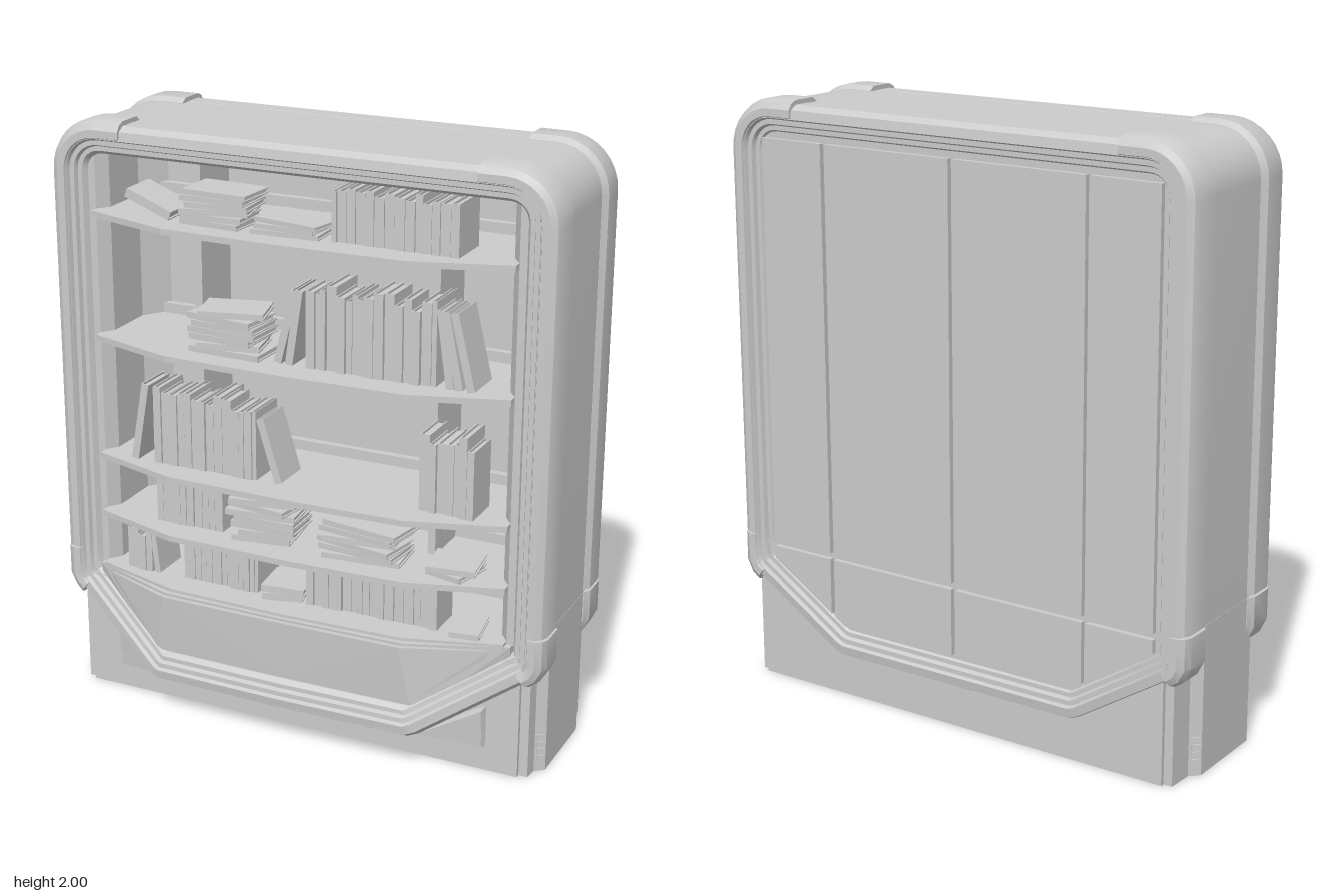
import * as THREE from 'three';
import { toCreasedNormals, mergeGeometries } from 'three/addons/utils/BufferGeometryUtils.js';
import { ConvexGeometry } from 'three/addons/geometries/ConvexGeometry.js';

const mat = new THREE.MeshStandardMaterial({ color: 0xcccccc });
const V2 = (x, y) => new THREE.Vector2(x, y);

export function createModel() {
  const root = new THREE.Group();
  let seed = 7;
  const rand = () => (seed = (seed * 16807) % 2147483647) / 2147483647;

  const add = (name, geo, parent = root) => {
    const m = new THREE.Mesh(geo, mat);
    m.name = name;
    parent.add(m);
    return m;
  };
  const boxGeo = (x0, x1, y0, y1, z0, z1) =>
    new THREE.BoxGeometry(x1 - x0, y1 - y0, z1 - z0).translate((x0 + x1) / 2, (y0 + y1) / 2, (z0 + z1) / 2);
  // Front-facing outline pushed from z0 to z1
  const slab = (pts, z0, z1, hole) => {
    const s = new THREE.Shape(pts);
    if (hole) s.holes.push(new THREE.Path(hole));
    const g = new THREE.ExtrudeGeometry(s, { depth: z1 - z0, bevelEnabled: false }).translate(0, 0, z0);
    return toCreasedNormals(g, 0.6);
  };
  // Plan outline given as [x, z], raised from y0 to y1
  const plan = (pts, y0, y1) =>
    new THREE.ExtrudeGeometry(new THREE.Shape(pts.map(([x, z]) => V2(x, -z))), { depth: y1 - y0, bevelEnabled: false })
      .rotateX(-Math.PI / 2).translate(0, y0, 0);
  const mirrorPts = pts => pts.map(([x, ...r]) => [-x, ...r]).reverse();
  const hull = pts => new ConvexGeometry([...pts, ...mirrorPts(pts)].map(p => new THREE.Vector3(...p)));

  // Cabinet outline, clockwise from the top centre
  const half = [V2(0, 2), V2(0.61, 2)];
  for (let i = 0; i <= 8; i++) {
    const a = (Math.PI / 2) * (1 - i / 8);
    half.push(V2(0.70 + 0.17 * Math.cos(a), 1.83 + 0.17 * Math.sin(a)));
  }
  half.push(V2(0.87, 0.51), V2(0.87, 0.40), V2(0.845, 0.35), V2(0.50, 0.13), V2(0.46, 0.115), V2(0, 0.115));
  const flip = pts => pts.map(p => V2(-p.x, p.y)).reverse();
  const outline = [...half, ...flip(half.slice(1, -1))];

  // Move a path inwards by d with mitred corners
  const inset = (path, d, closed = true) => path.map((p, i) => {
    const n = path.length;
    const prev = closed || i > 0 ? path[(i + n - 1) % n] : null;
    const next = closed || i < n - 1 ? path[(i + 1) % n] : null;
    const a = prev ? p.clone().sub(prev).normalize() : next.clone().sub(p).normalize();
    const b = next ? next.clone().sub(p).normalize() : a;
    const t = a.clone().add(b).normalize();
    const k = d / t.dot(a);
    return V2(p.x + t.y * k, p.y - t.x * k);
  });

  // Sweep a profile of [inset, z] along a path; the lower front bows forwards
  const bow = p => (p.y > 0.45 ? 0 : 0.13 * Math.min(1, Math.max(0, (0.845 - Math.abs(p.x)) / 0.37)) + (p.x === 0 ? 0.008 : 0));
  const sweep = (path, profile, closed, rear) => {
    const prof = rear ? profile.map(([d, z]) => [d, -0.14 - z]).reverse() : profile;
    const n = path.length, m = prof.length, pos = [], idx = [];
    const rails = prof.map(([d]) => inset(path, d, closed));
    for (let i = 0; i < n; i++)
      for (let j = 0; j < m; j++) pos.push(rails[j][i].x, rails[j][i].y, prof[j][1] + (rear ? 0 : bow(path[i])));
    for (let i = 0; i < (closed ? n : n - 1); i++)
      for (let j = 0; j < m; j++) {
        const i2 = (i + 1) % n, j2 = (j + 1) % m;
        const a = i * m + j, b = i2 * m + j, c = i * m + j2, d = i2 * m + j2;
        idx.push(a, c, b, b, c, d);
      }
    if (!closed)
      for (let j = 1; j < m - 1; j++) {
        const e = (n - 1) * m;
        idx.push(0, j + 1, j, e, e + j, e + j + 1);
      }
    const g = new THREE.BufferGeometry();
    g.setAttribute('position', new THREE.Float32BufferAttribute(pos, 3));
    g.setIndex(idx);
    return toCreasedNormals(g, 0.5);
  };

  // Front and rear rims with thicker sleeves on corners and sides
  const rim = [[0.015, 0.11], [0.015, 0.175], [0.03, 0.2], [0.06, 0.205], [0.066, 0.192], [0.082, 0.192],
    [0.088, 0.178], [0.103, 0.178], [0.115, 0.16], [0.115, 0.09], [0.03, 0.09]];
  const sleeve = [[0, 0.09], [0, 0.175], [0.01, 0.198], [0.03, 0.211], [0.055, 0.211], [0.06, 0.2], [0.06, 0.07], [0.015, 0.07]];
  const upper = half.slice(1, 12);
  const lower = [V2(0.873, 0.503), V2(0.873, 0.40), V2(0.85, 0.353), V2(0.82, 0.332)];
  for (const rear of [false, true]) {
    const side = rear ? 'rear' : 'front';
    add(side + 'Rim', sweep(outline, rim, true, rear));
    for (const part of [upper, lower])
      for (const p of [part, flip(part)]) add(side + (part === upper ? 'UpperSleeve' : 'LowerSleeve'), sweep(p, sleeve, false, rear));
  }

  // Outer shell, open at the front, and back board
  const opening = [V2(-0.75, 0.42), V2(0.75, 0.42), V2(0.75, 1.89), V2(-0.75, 1.89)];
  add('shell', slab(inset(outline, 0.016), -0.26, 0.12, opening));
  add('backBoard', slab(inset(outline, 0.09), -0.31, -0.15));

  // Raised back panels separated by seams
  const xs = [0.008, 0.49, 0.506, 0.745];
  for (const s of [1, -1]) {
    const poly = pts => slab(pts.map(([x, y]) => V2(x * s, y)), -0.328, -0.305);
    for (const k of [0, 2]) {
      const [a, b] = [xs[k], xs[k + 1]];
      add('upperBackPanel', poly([[a, 0.49], [b, 0.49], [b, 1.87], [a, 1.87]]));
    }
    add('lowerBackPanel', poly([[0.008, 0.24], [0.45, 0.24], [0.49, 0.265], [0.49, 0.47], [0.008, 0.47]]));
    add('lowerBackPanel', poly([[0.506, 0.275], [0.745, 0.425], [0.745, 0.47], [0.506, 0.47]]));
  }

  // Base with side columns, rear skirt, vents and grilles
  add('base', boxGeo(-0.79, 0.79, 0, 0.41, -0.30, 0.185));
  add('rearSkirt', slab([[-0.79, 0], [0.79, 0], [0.79, 0.38], [0.47, 0.18], [-0.47, 0.18], [-0.79, 0.38]].map(p => V2(...p)), -0.335, -0.30));
  const column = [[0.78, 0.17], [0.82, 0.17], [0.825, 0.125], [0.855, 0.1], [0.855, -0.2], [0.825, -0.23], [0.82, -0.32], [0.78, -0.32]];
  for (const s of [1, -1]) {
    const mir = pts => (s > 0 ? pts : mirrorPts(pts));
    add('sideColumn', plan(mir(column), 0, 0.5));
    add('frontVent', new ConvexGeometry([[0.68, 0.08, 0.18], [0.68, 0.235, 0.18], [0.43, 0.1, 0.18], [0.67, 0.09, 0.2],
      [0.67, 0.22, 0.21], [0.46, 0.105, 0.24]].map(([x, y, z]) => new THREE.Vector3(x * s, y, z))));
    add('ventLatch', boxGeo(s * 0.665 - 0.008, s * 0.665 + 0.008, 0.12, 0.16, 0.18, 0.205));
    for (const z of [0.112, -0.215])
      for (let i = 0; i < 4; i++) {
        const g = add('grilleSlat', new THREE.BoxGeometry(0.008, 0.014, 0.024));
        g.position.set(s * 0.841, 0.05 + i * 0.025, z);
        g.rotation.y = s * (z > 0 ? -0.87 : 0.87);
      }
  }

  // Bowed lower front with a raised panel
  add('lowerFront', hull([[0.75, 0.452, 0.18], [0.43, 0.452, 0.303], [0, 0.452, 0.31], [0.47, 0.2, 0.285], [0, 0.2, 0.29],
    [0.75, 0.40, 0.17], [0.75, 0.452, -0.15], [0.6, 0.2, -0.15]]));
  add('lowerFrontPanel', hull([[0.69, 0.44, 0.21], [0.68, 0.41, 0.212], [0.43, 0.445, 0.322], [0, 0.445, 0.327],
    [0.46, 0.25, 0.308], [0, 0.25, 0.315], [0.64, 0.43, 0.16], [0.44, 0.26, 0.16]]));

  // Interior: slanted side linings and shallow uprights
  const lining = [[0.755, 0.16], [0.73, 0.16], [0.70, 0.12], [0.70, -0.06], [0.635, -0.152], [0.755, -0.152]];
  for (const s of [1, -1]) {
    add('sideLining', plan(s > 0 ? lining : mirrorPts(lining), 0.45, 1.895));
    add('upright', boxGeo(s * 0.42 - 0.013, s * 0.42 + 0.013, 0.45, 1.89, -0.152, 0.045));
  }

  // Bowed shelves with trims along the back wall
  const shelfHalf = [[0, 0.297], [0.42, 0.285], [0.73, 0.19], [0.73, -0.152]];
  const shelfPlan = [...shelfHalf, ...mirrorPts(shelfHalf.slice(1))];
  const shelfTops = [1.70, 1.28, 0.865, 0.655, 0.462];
  for (const y of shelfTops) {
    add('shelf', plan(shelfPlan, y - 0.02, y));
    add('backTrim', boxGeo(-0.68, 0.68, y, y + 0.035, -0.152, -0.125));
    if (y > 0.5) add('underTrim', boxGeo(-0.69, 0.69, y - 0.065, y - 0.02, -0.152, -0.11));
  }

  // Books: spine, two boards and recessed pages
  const bookGeo = (t, h, d) => {
    const c = Math.min(0.004, t / 5);
    return mergeGeometries([boxGeo(-t / 2, t / 2, 0, h, d / 2 - c, d / 2), boxGeo(-t / 2, c - t / 2, 0, h, -d / 2, d / 2),
      boxGeo(t / 2 - c, t / 2, 0, h, -d / 2, d / 2), boxGeo(c - t / 2, t / 2 - c, 0.006, h - 0.008, 0.006 - d / 2, d / 2 - c)]);
  };
  const books = new THREE.Group();
  books.name = 'books';
  root.add(books);
  const row = (x0, x1, y, h) => {
    for (let x = x0; x < x1 - 0.012;) {
      const t = Math.min(0.016 + 0.02 * rand(), x1 - x), d = 0.13 + 0.03 * rand();
      add('standingBook', bookGeo(t * 0.94, h * (0.84 + 0.16 * rand()), d), books).position.set(x + t / 2, y, 0.195 - d / 2 - 0.015 * rand());
      x += t;
    }
  };
  const stack = (x, y, w, h, n) => {
    for (let i = 0; i < n; i++) {
      const t = h / n, len = w * (0.75 + 0.25 * rand());
      const g = bookGeo(t * 0.95, len, 0.15).translate(0, -len / 2, 0).rotateZ(Math.PI / 2);
      const m = add('stackedBook', g, books);
      m.position.set(x + (rand() - 0.5) * 0.03, y + t * (i + 0.5), 0.135);
      m.rotation.y = (rand() - 0.5) * 0.5;
    }
  };
  const lean = (x, y, h, angle, t = 0.026) => {
    const m = add('leaningBook', bookGeo(t, h, 0.14), books);
    m.position.set(x, y + Math.abs(Math.sin(angle)) * t / 2, 0.12);
    m.rotation.z = angle;
  };
  const [s1, s2, s3, s4, s5] = shelfTops;
  row(0.13, 0.56, s1, 0.18);
  stack(-0.28, s1, 0.25, 0.115, 6);
  stack(-0.02, s1, 0.25, 0.05, 3);
  lean(-0.44, s1, 0.17, 1.2, 0.03);
  row(0.04, 0.48, s2, 0.28);
  [[-0.06, -0.25], [-0.02, -0.15], [0.53, 0.14], [0.56, 0.2], [0.6, 0.24]].forEach(([x, a]) => lean(x, s2, 0.25, a));
  stack(-0.25, s2, 0.26, 0.15, 7);
  row(-0.52, -0.14, s3, 0.27);
  lean(-0.595, s3, 0.27, -0.17);
  lean(-0.06, s3, 0.22, 0.3);
  row(0.43, 0.63, s3, 0.27);
  row(-0.52, -0.27, s4, 0.18);
  stack(-0.12, s4, 0.25, 0.15, 7);
  stack(0.24, s4, 0.28, 0.12, 6);
  stack(0.54, s4, 0.17, 0.04, 2);
  row(-0.64, -0.54, s5, 0.15);
  lean(-0.52, s5, 0.14, 0.12, 0.02);
  row(-0.42, -0.14, s5, 0.175);
  stack(-0.06, s5, 0.16, 0.05, 2);
  row(0.04, 0.51, s5, 0.16);
  stack(0.59, s5, 0.13, 0.02, 1);

  return root;
}
